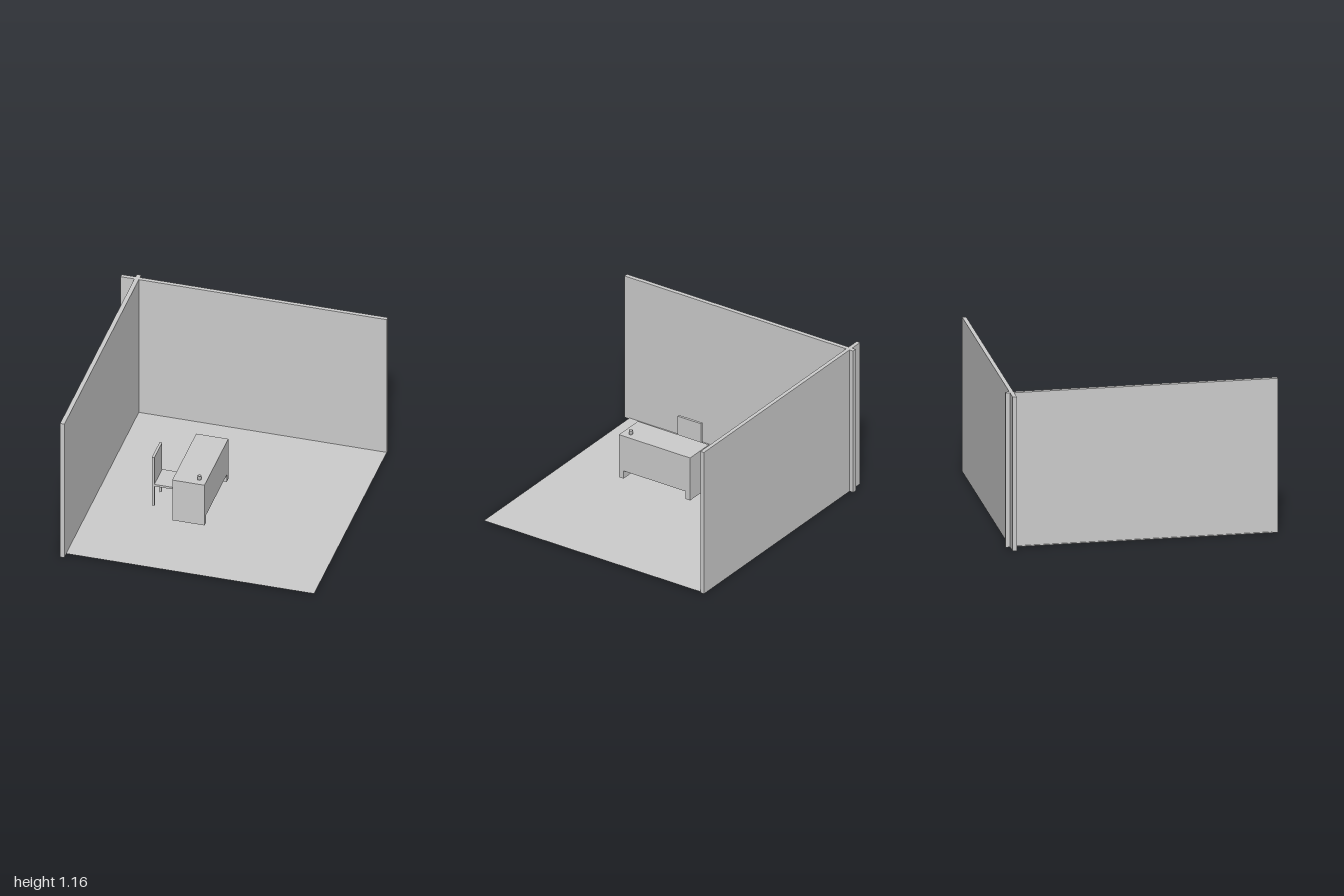
import * as THREE from 'three';

const material = new THREE.MeshStandardMaterial({ color: 0xcccccc, side: THREE.DoubleSide });

// Box given by its extents along each axis
function box(parent, name, [x0, x1], [y0, y1], [z0, z1]) {
  const mesh = new THREE.Mesh(new THREE.BoxGeometry(x1 - x0, y1 - y0, z1 - z0), material);
  mesh.position.set((x0 + x1) / 2, (y0 + y1) / 2, (z0 + z1) / 2);
  mesh.name = name;
  parent.add(mesh);
}

function group(parent, name) {
  const g = new THREE.Group();
  g.name = name;
  parent.add(g);
  return g;
}

export function createModel() {
  const model = new THREE.Group();
  model.name = 'officeCorner';

  // Thin floor sheet, just above the foot of the walls
  const floor = new THREE.Mesh(new THREE.PlaneGeometry(1.905, 1.914), material);
  floor.rotation.x = -Math.PI / 2;
  floor.position.set(0.0475, 0.008, 0);
  floor.name = 'floor';
  model.add(floor);

  // Two walls crossing near the corner
  const walls = group(model, 'walls');
  box(walls, 'sideWall', [-0.897, -0.864], [0, 1.165], [-1, 1]);
  box(walls, 'backWall', [-1, 1], [0, 1.165], [-0.968, -0.938]);

  // Desk: top, end panels and a front panel, open towards the chair
  const desk = group(model, 'desk');
  box(desk, 'deskTop', [-0.215, 0.027], [0.395, 0.435], [-0.182, 0.44]);
  for (const z of [-0.182, 0.4]) box(desk, 'endPanel', [-0.215, 0.027], [0.085, 0.395], [z, z + 0.04]);
  box(desk, 'frontPanel', [-0.01, 0.027], [0.148, 0.395], [-0.142, 0.4]);

  // Chair: seat, backrest and four legs
  const chair = group(model, 'chair');
  box(chair, 'seat', [-0.43, -0.19], [0.205, 0.222], [0.023, 0.227]);
  box(chair, 'backrest', [-0.43, -0.411], [0.222, 0.455], [0.023, 0.227]);
  for (const x of [-0.43, -0.21])
    for (const z of [0.023, 0.208]) box(chair, 'chairLeg', [x, x + 0.019], [0.035, 0.205], [z, z + 0.019]);

  // Small cup on the desk
  const profile = [[0, 0], [0.014, 0], [0.015, 0.03], [0.012, 0.03], [0.011, 0.005], [0, 0.005]];
  const cup = new THREE.Mesh(
    new THREE.LatheGeometry(profile.map(([r, y]) => new THREE.Vector2(r, y)), 24), material);
  cup.position.set(-0.03, 0.435, 0.375);
  cup.name = 'cup';
  model.add(cup);

  return model;
}
